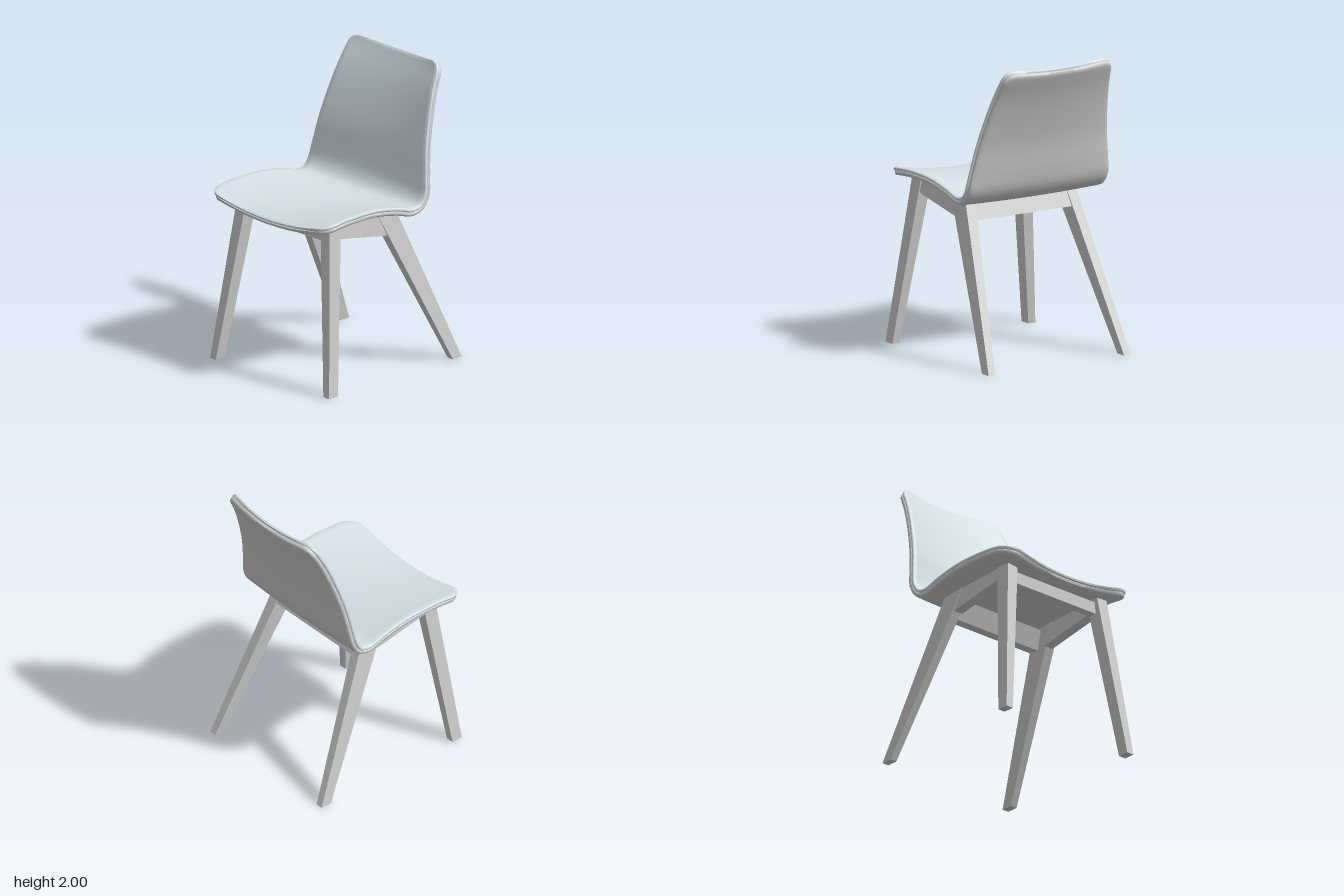
import * as THREE from 'three';
import { toCreasedNormals } from 'three/addons/utils/BufferGeometryUtils.js';

// Side profile of the seat and back along its edge: [z, y, sag at the middle]
const profile = [
  [0.62, 1.155, 0.055], [0.5, 1.18, 0.055], [0.3, 1.192, 0.05], [0.1, 1.182, 0.045],
  [-0.08, 1.145, 0.033], [-0.18, 1.115, 0.015], [-0.245, 1.125, 0.01], [-0.285, 1.18, 0.015],
  [-0.305, 1.28, 0.025], [-0.335, 1.45, 0.03], [-0.385, 1.63, 0.035], [-0.455, 1.82, 0.038],
  [-0.545, 2.0, 0.035],
];
const curve = new THREE.CatmullRomCurve3(profile.map(([z, y]) => new THREE.Vector3(0, y, z)), false, 'centripetal');
const sagCurve = new THREE.CatmullRomCurve3(profile.map(([z, y, s]) => new THREE.Vector3(s, 0, 0)), false, 'catmullrom');
const LENGTH = curve.getLength();

// Narrowing of the outline towards an end, as a quarter ellipse
function cornerInset(distance, reach, inset) {
  if (distance >= reach) return 0;
  const k = 1 - distance / reach;
  return inset * (1 - Math.sqrt(Math.max(0, 1 - k * k)));
}

// Curved slab following the profile, between two depths below its face
function slab(top, bottom, inset, round) {
  const ROWS = 90, COLS = 28;
  const positions = [], index = [];
  const depth = bottom - top;
  // cross-section ring: [side fraction, inward trim, depth]
  const ring = [];
  for (let j = 0; j <= COLS; j++) ring.push([-1 + 2 * j / COLS, round, 0]);
  ring.push([1, round * 0.3, 0.14], [1, 0, 0.35], [1, 0, 0.65], [1, round * 0.3, 0.86]);
  for (let j = COLS; j >= 0; j--) ring.push([-1 + 2 * j / COLS, round, 1]);
  ring.push([-1, round * 0.3, 0.86], [-1, 0, 0.65], [-1, 0, 0.35], [-1, round * 0.3, 0.14]);
  const n = ring.length;

  for (let i = 0; i <= ROWS; i++) {
    // rows crowd together at both ends for the rounded corners
    const a = i / ROWS;
    const u = 0.5 * a + 0.5 * (0.5 - 0.5 * Math.cos(Math.PI * a));
    const t = Math.min(1 - inset / LENGTH, Math.max(inset / LENGTH, u));
    const p = curve.getPointAt(t), d = curve.getTangentAt(t);
    const sag = sagCurve.getPoint(curve.getUtoTmapping(t)).x;
    const front = t * LENGTH - inset, back = (1 - t) * LENGTH - inset;
    const width = 0.55 - inset - 0.17 * Math.max(0, p.y - 1.2)
      - cornerInset(front, 0.12, 0.1) - cornerInset(back, 0.07, 0.06);
    const k = Math.max(0, 1 - Math.min(front, back) / 0.015);
    const thin = 1 - 0.5 * k * k;
    for (const [s, trim, e] of ring) {
      const x = s * (width - trim);
      const f = Math.min(1, Math.abs(x) / (width + 1e-6));
      const off = sag * (1 - f * f) + top + depth * (0.5 + (e - 0.5) * thin);
      positions.push(x, p.y + d.z * off, p.z - d.y * off);
    }
  }
  for (let i = 0; i < ROWS; i++) {
    for (let j = 0; j < n; j++) {
      const a = i * n + j, b = i * n + (j + 1) % n;
      index.push(a, b, a + n, b, b + n, a + n);
    }
  }
  // caps join the upper and lower runs of the end rings
  const cap = (base, flip) => {
    const tri = (a, b, c) => index.push(base + a, base + (flip ? c : b), base + (flip ? b : c));
    const low = (j) => COLS + 5 + (COLS - j);
    for (let j = 0; j < COLS; j++) {
      tri(j, low(j), j + 1);
      tri(j + 1, low(j), low(j + 1));
    }
    for (let j = COLS; j < COLS + 4; j++) tri(COLS, COLS + 5, j + 1 > COLS + 4 ? COLS : j), tri(COLS + 5, j + 1, j);
    for (let j = n - 4; j < n; j++) tri(0, j, j - 1);
  };
  cap(0, false);
  cap(ROWS * n, true);

  const g = new THREE.BufferGeometry();
  g.setAttribute('position', new THREE.Float32BufferAttribute(positions, 3));
  g.setIndex(index);
  return toCreasedNormals(g, 0.9);
}

// Six-sided bar whose corners are set by rule(sx, sy, sz), each sign -1 or 1;
// side -1 mirrors it across x
function bar(rule, side = 1) {
  const g = new THREE.BoxGeometry(2, 2, 2);
  const p = g.attributes.position;
  for (let i = 0; i < p.count; i++) {
    const [x, y, z] = rule(p.getX(i) * side, p.getY(i), p.getZ(i));
    p.setXYZ(i, x * side, y, z);
  }
  g.computeVertexNormals();
  return g;
}

const pick = (s, low, high) => (s > 0 ? high : low);

export function createModel() {
  const model = new THREE.Group();
  const grey = new THREE.MeshStandardMaterial({ color: 0xcccccc, side: THREE.DoubleSide });
  const fabric = new THREE.MeshStandardMaterial({ color: 0xd3e0e5, side: THREE.DoubleSide });
  const add = (name, geometry, material = grey) => {
    const mesh = new THREE.Mesh(geometry, material);
    mesh.name = name;
    model.add(mesh);
    return mesh;
  };

  // Seat and back in one sweep: upholstered pad over a shell
  add('seatPad', slab(0, 0.023, 0, 0.008), fabric).position.x = -0.015;
  add('seatShell', slab(0.022, 0.052, 0.003, 0.01)).position.x = -0.015;

  // Tapered legs and side rails, mirrored
  for (const side of [1, -1]) {
    const label = side > 0 ? 'left' : 'right';
    add(label + 'FrontLeg', bar((sx, sy, sz) => (sy < 0
      ? [pick(sx, 0.505, 0.56), 0, pick(sz, 0.52, 0.6)]
      : [pick(sx, 0.35, 0.435), 1.105, pick(sz, 0.375, 0.477)]), side));
    add(label + 'RearLeg', bar((sx, sy, sz) => (sy < 0
      ? [pick(sx, 0.505, 0.555), 0, pick(sz, -0.6, -0.52)]
      : [pick(sx, 0.355, 0.43), pick(sz, 1.065, 1.085), pick(sz, -0.14, 0.03)]), side));
    add(label + 'SideRail', bar((sx, sy, sz) => [
      pick(sx, 0.362, sy < 0 ? 0.435 : 0.425),
      sy < 0 ? pick(sz, 0.94, 1.02) : pick(sz, 1.08, 1.105),
      sy < 0 ? pick(sz, -0.045, 0.39) : pick(sz, -0.02, 0.39),
    ], side));
  }

  // Cross rails under the seat
  add('frontRail', bar((sx, sy, sz) => [sx * 0.38, pick(sy, 1.0, 1.08), pick(sz, 0.39, 0.45)]));
  add('rearRail', bar((sx, sy, sz) => (sy < 0
    ? [sx * 0.385, 0.935, pick(sz, -0.185, -0.12)]
    : [sx * 0.37, 1.06, pick(sz, -0.135, -0.07)])));

  return model;
}
